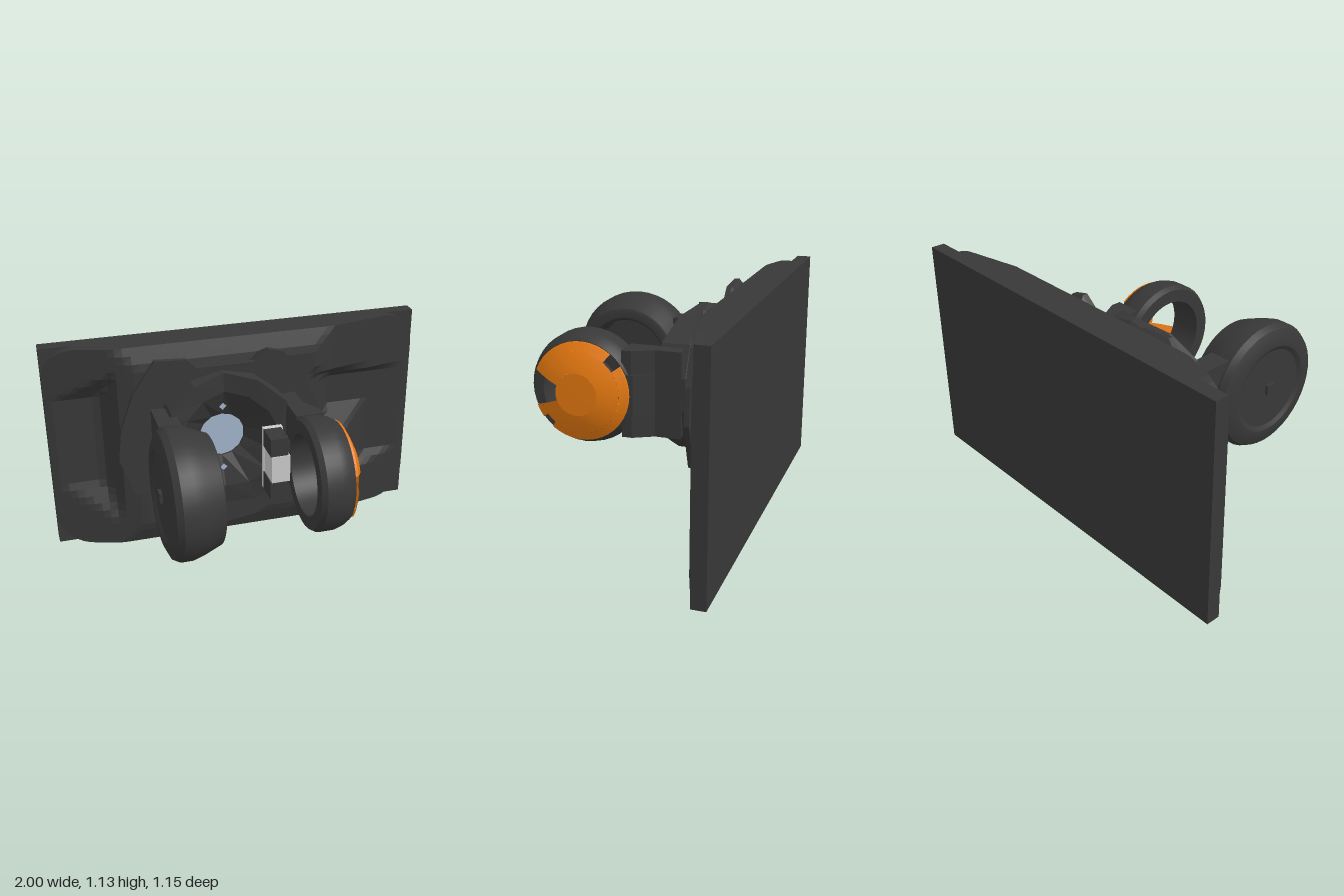
import * as THREE from 'three';
import { toCreasedNormals } from 'three/addons/utils/BufferGeometryUtils.js';

const material = (color, extra = {}) => new THREE.MeshStandardMaterial({ color, ...extra });
const dark = material(0x383838);
const faceted = material(0x383838, { flatShading: true });
const orange = material(0xe87a10, { side: THREE.DoubleSide });
const blue = material(0xa4b4cc, { side: THREE.DoubleSide });
const grey = material(0xcccccc);

const rad = THREE.MathUtils.degToRad;
const clamp = THREE.MathUtils.clamp;
const points = (list) => list.map(([x, y]) => new THREE.Vector2(x, y));

// Moves every vertex of a geometry by a rule
function reshape(geometry, rule) {
  const p = geometry.attributes.position;
  const v = new THREE.Vector3();
  for (let i = 0; i < p.count; i++) {
    rule(v.fromBufferAttribute(p, i));
    p.setXYZ(i, v.x, v.y, v.z);
  }
  geometry.computeVertexNormals();
  return geometry;
}

// Linear interpolation through [position, value] stops
function ramp(stops, t) {
  for (let i = 1; i < stops.length; i++) {
    const [a, va] = stops[i - 1], [b, vb] = stops[i];
    if (t <= b) return va + (vb - va) * clamp((t - a) / (b - a), 0, 1);
  }
  return stops[stops.length - 1][1];
}

// Sloped-wall pocket: floor rectangle plus wall widths on left, right, bottom and top
function pocket(x, y, [x0, x1, y0, y1], [wl, wr, wb, wt], floor) {
  const rise = Math.max((x0 - x) / wl, (x - x1) / wr, (y0 - y) / wb, (y - y1) / wt, 0);
  return floor + 0.1 * rise;
}

// Front surface of the backing slab
function slabFront(x, y) {
  const across = ramp([[-1, -0.5], [-0.67, -0.4], [-0.55, -0.36], [0.4, -0.36], [0.52, -0.4], [1, -0.5]], x);
  const up = ramp([[0, -0.4], [0.11, -0.36], [1.03, -0.36], [1.13, -0.4]], y);
  const leftPocket = pocket(x, y, [-0.97, -0.73, 0.36, 0.85], [0.05, 0.09, 0.25, 0.16], -0.49);
  const rightPocket = pocket(x, y, [0.52, 0.97, 0.32, 0.82], [0.12, 0.05, 0.18, 0.06], -0.49);
  const mound = -0.4 - 0.1 * Math.max(Math.abs(x - 0.56) / 0.2, Math.abs(y - 0.45) / 0.22);
  return Math.min(across, up, leftPocket, Math.max(rightPocket, mound));
}

function ringAboutX(profile, y, z, start = 0, end = 360) {
  const segments = Math.max(3, Math.round((end - start) / 9));
  const g = new THREE.LatheGeometry(points(profile), segments, -rad(end), rad(end - start));
  return toCreasedNormals(g.rotateZ(-Math.PI / 2).translate(0, y, z), 0.5);
}

export function createModel() {
  const model = new THREE.Group();
  const add = (name, geometry, mat, parent = model) => {
    const mesh = new THREE.Mesh(geometry, mat);
    mesh.name = name;
    parent.add(mesh);
    return mesh;
  };

  // Flat back plate
  add('backPlate', new THREE.BoxGeometry(2, 1.13, 0.07).translate(0, 0.565, -0.54), dark);

  // Rounded, chipped slab in front of the plate
  const corner = 0.18;
  add('rockSlab', reshape(new THREE.BoxGeometry(2, 1.13, 0.1, 50, 28, 1), (v) => {
    const front = v.z > 0;
    const dx = Math.abs(v.x) - (1 - corner), dy = Math.abs(v.y) - (0.565 - corner);
    const d = Math.hypot(dx, dy);
    if (dx > 0 && dy > 0 && d > corner) {
      v.x = Math.sign(v.x) * (1 - corner + dx * corner / d);
      v.y = Math.sign(v.y) * (0.565 - corner + dy * corner / d);
    }
    v.y += 0.565;
    v.z = front ? slabFront(v.x, v.y) : -0.51;
  }), faceted);

  // Arched mounting flange with a top notch and a lower tongue
  const flange = new THREE.Shape(points([
    [-0.37, 0.16], [-0.24, 0.12], [-0.1, 0.11], [0.04, 0.13], [0.11, 0.16], [0.13, 0.32], [0.33, 0.34],
    [0.41, 0.57], [0.39, 0.75], [0.32, 0.92], [0.2, 1.07], [0.12, 1.09], [0.05, 1.03], [-0.25, 1.03],
    [-0.3, 1.08], [-0.46, 1.09], [-0.58, 0.92], [-0.65, 0.73], [-0.67, 0.57], [-0.6, 0.36], [-0.39, 0.33],
  ]));
  const extrude = (shape, depth) => new THREE.ExtrudeGeometry(shape, { depth, bevelEnabled: false });
  add('flange', extrude(flange, 0.026).translate(0, 0, -0.311), faceted);
  add('flangeBase', reshape(extrude(flange, 0.1).translate(0, 0, -0.41), (v) => {
    if (v.z < -0.35) {
      v.x = -0.13 + (v.x + 0.13) * 0.76;
      v.y = 0.62 + (v.y - 0.62) * 0.84;
    }
  }), faceted);

  // Pale disc seen through the socket
  const cx = -0.135, cy = 0.655;
  add('socketDisc', new THREE.CylinderGeometry(0.29, 0.29, 0.012, 24)
    .rotateX(Math.PI / 2).translate(cx, cy, -0.28), blue);

  // Saddle-shaped socket, raised on both sides where the arms leave
  const socket = new THREE.LatheGeometry(points([
    [0.12, -0.276], [0.33, -0.276], [0.372, -0.235], [0.372, -0.2], [0.27, -0.2], [0.12, -0.262], [0.12, -0.276],
  ]), 14).rotateX(Math.PI / 2);
  add('socket', reshape(socket, (v) => {
    if (v.z > -0.21) v.z += 0.105 * clamp((Math.abs(v.x) - 0.03) / 0.24, 0, 1);
    v.x += cx;
    v.y += cy;
  }), faceted);
  for (const [dx, dy] of [[0, 0.175], [0, -0.175], [-0.17, 0]]) {
    add('socketPeephole', new THREE.CircleGeometry(0.02, 4)
      .translate(cx + dx, cy + dy, dx ? -0.17 : -0.232), blue);
  }

  // Arms, drawn in plan as [x, z] and raised along y
  const arm = (name, plan, y0, y1) => {
    const shape = new THREE.Shape(points(plan.map(([x, z]) => [x, -z])));
    add(name, extrude(shape, y1 - y0).rotateX(-Math.PI / 2).translate(0, y0, 0), faceted);
  };
  arm('rightArm', [[-0.505, -0.22], [-0.505, 0.03], [-0.395, 0.03], [-0.395, -0.2]], 0.44, 0.87);
  arm('leftArm', [[0.13, -0.2], [0.16, -0.09], [0.16, 0.06], [0.295, 0.06], [0.295, 0.01],
    [0.24, -0.09], [0.24, -0.22]], 0.44, 0.87);
  arm('leftArmRib', [[0.24, -0.09], [0.2, 0.05], [0.31, 0.05], [0.305, 0.0]], 0.55, 0.755);

  // Large cup on the right, open toward the middle
  const wheelZ = 0.26;
  add('rightCup', ringAboutX([
    [0, -0.555], [0.2, -0.555], [0.22, -0.567], [0.25, -0.567], [0.3, -0.545], [0.317, -0.515], [0.317, -0.455],
    [0.3, -0.4], [0.265, -0.315], [0.255, -0.31], [0.215, -0.31], [0.2, -0.33], [0.2, -0.52], [0, -0.52],
  ], cy, wheelZ), dark);
  add('cupStud', new THREE.BoxGeometry(0.02, 0.05, 0.05).translate(-0.56, cy, wheelZ), dark);

  // Smaller hollow ring on the left
  add('leftRing', ringAboutX([
    [0.2, 0.135], [0.265, 0.135], [0.28, 0.16], [0.28, 0.235], [0.268, 0.275], [0.248, 0.308],
    [0.2, 0.308], [0.2, 0.135],
  ], cy, wheelZ), dark);

  // Orange domed cover in bands, cut away at the front and nicked at the rim
  const cover = new THREE.Group();
  cover.name = 'orangeCover';
  model.add(cover);
  add('coverCentre', ringAboutX([[0.105, 0.378], [0, 0.38]], cy, wheelZ), orange, cover);
  add('coverBand', ringAboutX([[0.205, 0.342], [0.155, 0.366], [0.105, 0.378]], cy, wheelZ, 21, 339), orange, cover);
  for (const [start, end] of [[21, 128], [145, 308], [323, 339]]) {
    add('coverRim', ringAboutX([[0.2, 0.305], [0.245, 0.305], [0.245, 0.32], [0.205, 0.342]],
      cy, wheelZ, start, end), orange, cover);
  }

  // Small latch inside the left ring: dark ends, light middle, two pins
  const box = (name, x0, x1, y0, y1, z0, z1, mat) => add(name,
    new THREE.BoxGeometry(x1 - x0, y1 - y0, z1 - z0)
      .translate((x0 + x1) / 2, (y0 + y1) / 2, (z0 + z1) / 2), mat);
  box('latchTop', 0.03, 0.12, 0.665, 0.76, -0.06, 0.065, dark);
  box('latchMiddle', 0.035, 0.13, 0.52, 0.665, -0.06, 0.07, grey);
  box('latchBottom', 0.03, 0.12, 0.42, 0.52, -0.06, 0.065, dark);
  box('latchBack', 0.03, 0.13, 0.42, 0.76, -0.09, -0.06, grey);
  for (const y of [0.57, 0.7]) box('latchPin', 0.11, 0.17, y - 0.03, y + 0.03, -0.02, 0.05, dark);

  return model;
}
